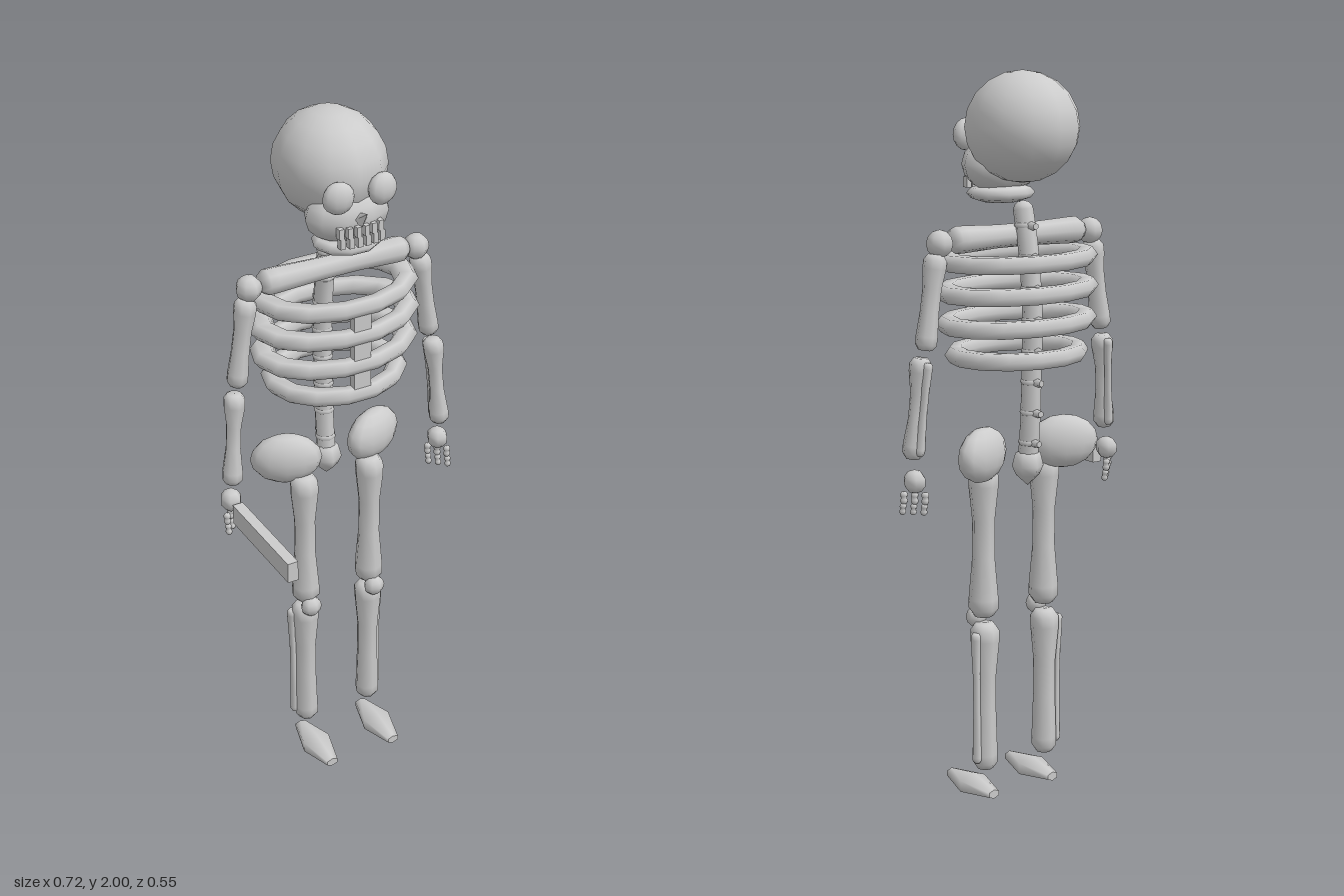
import * as THREE from 'three';

const mat = new THREE.MeshStandardMaterial({ color: 0xcccccc });
const V = (x, y, z) => new THREE.Vector3(x, y, z);

export function createModel() {
  const model = new THREE.Group();
  model.name = 'skeleton';

  const add = (name, geo, pos = V(0, 0, 0), parent = model) => {
    const m = new THREE.Mesh(geo, mat);
    m.name = name;
    m.position.copy(pos);
    parent.add(m);
    return m;
  };

  // Ellipsoid with radii rx, ry, rz
  const blob = (name, pos, rx, ry, rz, ws = 12, hs = 8) =>
    add(name, new THREE.SphereGeometry(1, ws, hs).scale(rx, ry, rz), pos);

  const box = (name, pos, w, h, d, parent) => add(name, new THREE.BoxGeometry(w, h, d), pos, parent);

  // Long bone from a (lower) to b (upper): knobbed ends, narrower shaft
  const bone = (name, a, b, ra, rm, rb, sides = 8) => {
    const dir = b.clone().sub(a), L = dir.length();
    const pts = [
      [0, 0], [ra * 0.65, 0], [ra, ra * 0.5], [ra, ra * 1.2], [rm, L * 0.4],
      [rm, L * 0.65], [rb, L - rb * 1.2], [rb, L - rb * 0.5], [rb * 0.65, L], [0, L],
    ].map(p => new THREE.Vector2(...p));
    const m = add(name, new THREE.LatheGeometry(pts, sides), a);
    m.quaternion.setFromUnitVectors(V(0, 1, 0), dir.normalize());
    return m;
  };

  // Head
  blob('skull', V(0, 1.855, -0.11), 0.147, 0.145, 0.163, 12, 10);
  blob('upperJaw', V(0, 1.755, -0.02), 0.12, 0.078, 0.078, 10, 8);
  blob('lowerJaw', V(0, 1.678, -0.018), 0.097, 0.028, 0.082, 10, 6);
  const nose = add('nose', new THREE.ConeGeometry(0.02, 0.05, 4), V(0, 1.772, 0.066));
  nose.rotation.x = 0.9;
  for (let i = 0; i < 6; i++) {
    const x = (i - 2.5) * 0.023, z = 0.058 - x * x * 3;
    box('upperTooth', V(x, 1.732, z), 0.014, 0.028, 0.018);
    box('lowerTooth', V(x + 0.004, 1.704, z), 0.014, 0.028, 0.018);
  }

  // Spine with rear processes
  const spine = new THREE.CatmullRomCurve3([
    V(0, 1.64, -0.115), V(0, 1.55, -0.135), V(0, 1.38, -0.155),
    V(0, 1.2, -0.152), V(0, 1.08, -0.148), V(0, 0.97, -0.138),
  ]);
  add('spine', new THREE.TubeGeometry(spine, 16, 0.027, 8), V(0, 0, 0));
  blob('spineTop', V(0, 1.64, -0.115), 0.027, 0.025, 0.027, 8, 6);
  for (let i = 0; i < 8; i++) {
    const p = spine.getPointAt(0.06 + i * 0.123);
    const m = add('vertebraProcess', new THREE.CylinderGeometry(0.009, 0.016, 0.045, 6), V(0, p.y, p.z - 0.022));
    m.rotation.x = -Math.PI / 2;
    blob('vertebra', p, 0.03, 0.016, 0.03, 8, 6);
  }

  // Rib rings and breastbone
  [[1.512, 0.24], [1.43, 0.245], [1.345, 0.24], [1.26, 0.206]].forEach(([y, w]) => {
    const g = new THREE.TorusGeometry(0.145, 0.025, 6, 14).rotateX(Math.PI / 2).scale(w / 0.17, 1, 1);
    add('rib', g, V(0, y, -0.09));
  });
  box('breastbone', V(0, 1.38, 0.053), 0.05, 0.25, 0.024);

  // Collarbone bar
  bone('collarbone', V(-0.218, 1.572, -0.088), V(0.218, 1.572, -0.088), 0.036, 0.031, 0.036);

  // Tailbone
  const tail = [[0, 0], [0.032, 0.03], [0.043, 0.055], [0.034, 0.09], [0, 0.105]];
  add('tailbone', new THREE.LatheGeometry(tail.map(p => new THREE.Vector2(...p)), 6), V(0, 0.902, -0.138));

  for (const s of [1, -1]) {
    // Eyes
    blob('eye', V(s * 0.063, 1.83, 0.05), 0.043, 0.043, 0.026, 10, 8).rotation.y = s * 0.15;

    // Arm
    blob('shoulder', V(s * 0.25, 1.567, -0.088), 0.036, 0.036, 0.036, 7, 6);
    bone('upperArm', V(s * 0.296, 1.295, -0.085), V(s * 0.26, 1.54, -0.085), 0.029, 0.025, 0.031);
    bone('forearm', V(s * 0.327, 1.01, -0.068), V(s * 0.305, 1.275, -0.08), 0.029, 0.021, 0.03);
    bone('thinForearmBone', V(s * 0.322, 1.02, -0.092), V(s * 0.303, 1.265, -0.108), 0.014, 0.01, 0.013, 6);

    // Hand
    blob('wrist', V(s * 0.328, 0.95, -0.078), 0.031, 0.032, 0.034, 6, 5);
    for (let i = 0; i < 3; i++) {
      const x = s * (0.31 + i * 0.02), z = -0.1 + i * 0.02;
      bone('finger', V(x, 0.89, z), V(x, 0.922, z), 0.01, 0.008, 0.01, 6);
      bone('fingerTip', V(x, 0.86, z + 0.008), V(x, 0.89, z + 0.003), 0.009, 0.007, 0.009, 6);
    }

    // Hip
    blob('hip', V(s * 0.137, 1.002, -0.118), 0.1, 0.074, 0.048, 12, 8).rotation.y = s * 0.4;

    // Leg
    bone('thigh', V(s * 0.104, 0.54, -0.078), V(s * 0.104, 0.955, -0.078), 0.041, 0.031, 0.041);
    blob('kneecap', V(s * 0.104, 0.53, -0.046), 0.031, 0.031, 0.027, 7, 6);
    bone('shin', V(s * 0.104, 0.1, -0.084), V(s * 0.104, 0.52, -0.084), 0.035, 0.031, 0.04);
    bone('thinShinBone', V(s * 0.138, 0.125, -0.094), V(s * 0.141, 0.5, -0.094), 0.013, 0.01, 0.015, 6);

    // Foot: low-sided, tapered toward toe and heel
    const foot = new THREE.CylinderGeometry(0.4, 0.4, 2, 6, 2);
    const p = foot.attributes.position;
    for (let i = 0; i < p.count; i++) {
      if (Math.abs(p.getY(i)) < 0.1) p.setXYZ(i, p.getX(i) * 2.5, 0, p.getZ(i) * 2.5);
    }
    foot.rotateX(Math.PI / 2).scale(0.048, 0.032, 0.1);
    foot.computeVertexNormals();
    add('foot', foot, V(s * 0.104, 0.033, -0.025));
  }

  // Held bar in the right hand
  box('heldBar', V(-0.327, 0.929, 0.118), 0.03, 0.058, 0.316);

  return model;
}
